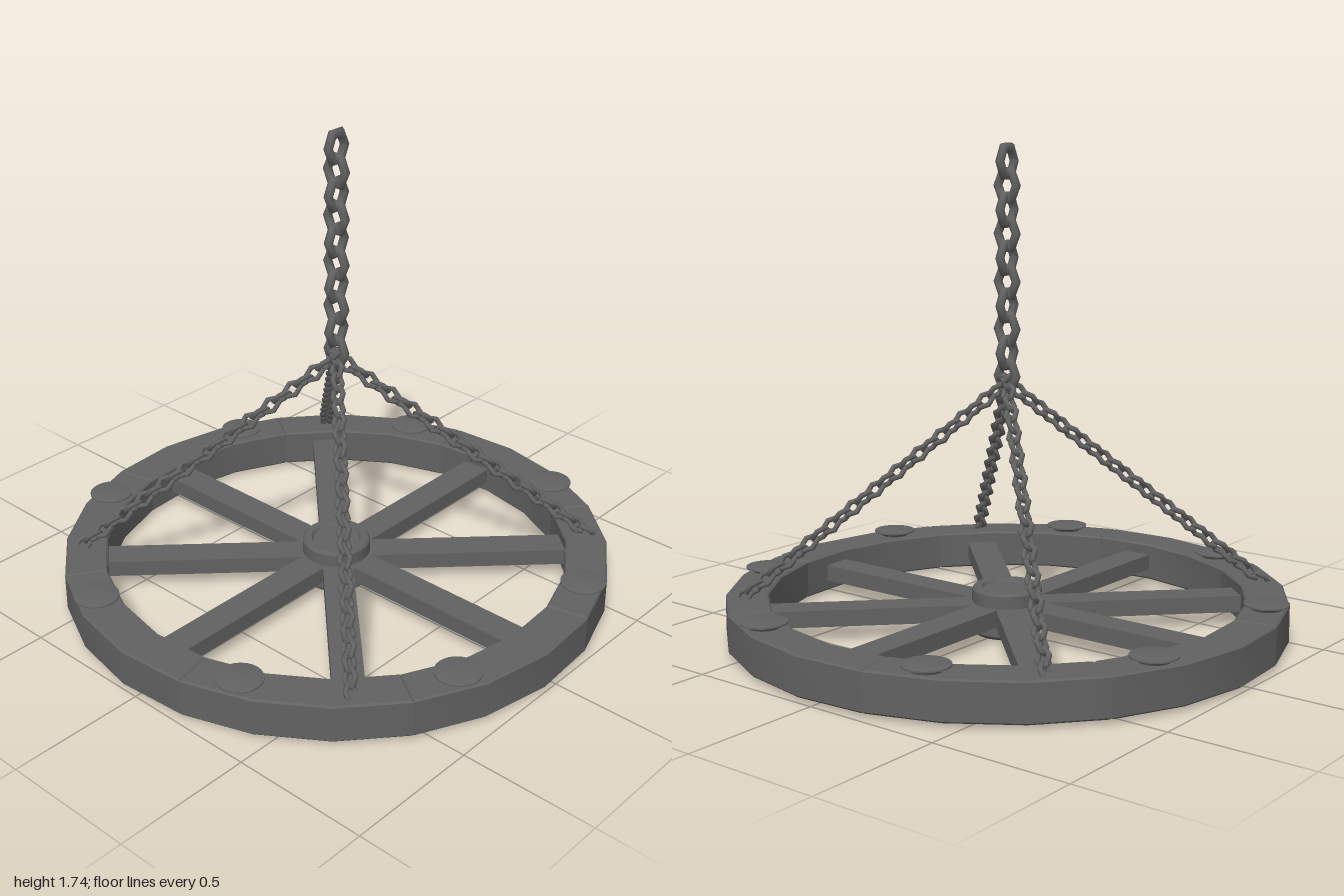
import * as THREE from 'three';
import { toCreasedNormals } from 'three/addons/utils/BufferGeometryUtils.js';

const DEG = Math.PI / 180;

export function createModel() {
  const model = new THREE.Group();
  const material = new THREE.MeshStandardMaterial({ color: 0x626262 });

  const add = (name, geometry, parent = model) => {
    const mesh = new THREE.Mesh(geometry, material);
    mesh.name = name;
    parent.add(mesh);
    return mesh;
  };
  const lathe = (points, sides) => toCreasedNormals(
    new THREE.LatheGeometry(points.map(p => new THREE.Vector2(...p)), sides), 0.5);

  // Rim: eight bevelled wooden segments, each with three softly shaded facets
  const bevel = 0.006;
  const arc = (r, k) => new THREE.Vector2(r * Math.cos(k * 15 * DEG), r * Math.sin(k * 15 * DEG));
  const outline = [0, 1, 2, 3].map(k => arc(1, k)).concat([3, 2, 1, 0].map(k => arc(0.848, k)));
  const rimGeo = new THREE.ExtrudeGeometry(new THREE.Shape(outline), {
    depth: 0.14 - 2 * bevel, bevelEnabled: true, bevelSize: bevel,
    bevelThickness: bevel, bevelOffset: -bevel, bevelSegments: 1,
  });
  rimGeo.rotateX(Math.PI / 2).translate(0, 0.155 - bevel, 0);
  const rimSmooth = toCreasedNormals(rimGeo, 0.5);
  for (let i = 0; i < 8; i++) {
    add('rimSegment', rimSmooth).rotation.y = (11.5 - 45 * i) * DEG;
  }

  // Spokes: four beams crossing at the hub
  const spokeGeo = new THREE.BoxGeometry(1.7, 0.06, 0.11).translate(0, 0.085, 0);
  for (let i = 0; i < 4; i++) {
    add('spokePair', spokeGeo).rotation.y = i * 45 * DEG;
  }

  // Hub: drum with a flat base and a shallow recess on top
  add('hub', lathe([
    [0, 0.004], [0.108, 0.004], [0.115, 0], [0.125, 0.012],
    [0.125, 0.16], [0.117, 0.17], [0.092, 0.17], [0.085, 0.158], [0, 0.158],
  ], 28));

  // Candle plates on the rim
  const plateGeo = lathe([
    [0, 0.15], [0.05, 0.15], [0.055, 0.16], [0.08, 0.17], [0.08, 0.175], [0.07, 0.177], [0, 0.177],
  ], 24);
  for (let i = 0; i < 8; i++) {
    const a = (22.5 + 45 * i) * DEG;
    add('candlePlate', plateGeo).position.set(0.925 * Math.cos(a), 0, 0.925 * Math.sin(a));
  }

  // Chain links: stretched six-sided rings lying in the XY plane
  const linkGeo = new THREE.TorusGeometry(0.04, 0.016, 8, 6).scale(1, 1.29, 1);

  // Main chain, alternate links turned a quarter
  const mainChain = new THREE.Group();
  mainChain.name = 'mainChain';
  for (let i = 0; i < 10; i++) {
    const link = add('chainLink', linkGeo, mainChain);
    link.position.y = 0.927 + i * 0.083;
    link.rotation.y = (i % 2) * Math.PI / 2;
  }
  model.add(mainChain);

  // Four thinner chains from the rim up to the main chain
  const count = 25;
  const reach = 0.66 * Math.SQRT2, climb = 0.745;
  const length = Math.hypot(reach, climb);
  for (let c = 0; c < 4; c++) {
    const chain = new THREE.Group();
    chain.name = 'supportChain';
    const tilt = new THREE.Group();
    tilt.position.set(reach, 0.16, 0);
    tilt.rotation.z = Math.atan2(reach, climb);
    for (let i = 0; i < count; i++) {
      const link = add('thinLink', linkGeo, tilt);
      link.position.y = (i / (count - 1)) * length;
      link.rotation.y = (i % 2 ? 45 : -45) * DEG;
      link.scale.setScalar(0.6);
    }
    chain.add(tilt);
    chain.rotation.y = (45 + 90 * c) * DEG;
    model.add(chain);
  }

  return model;
}
